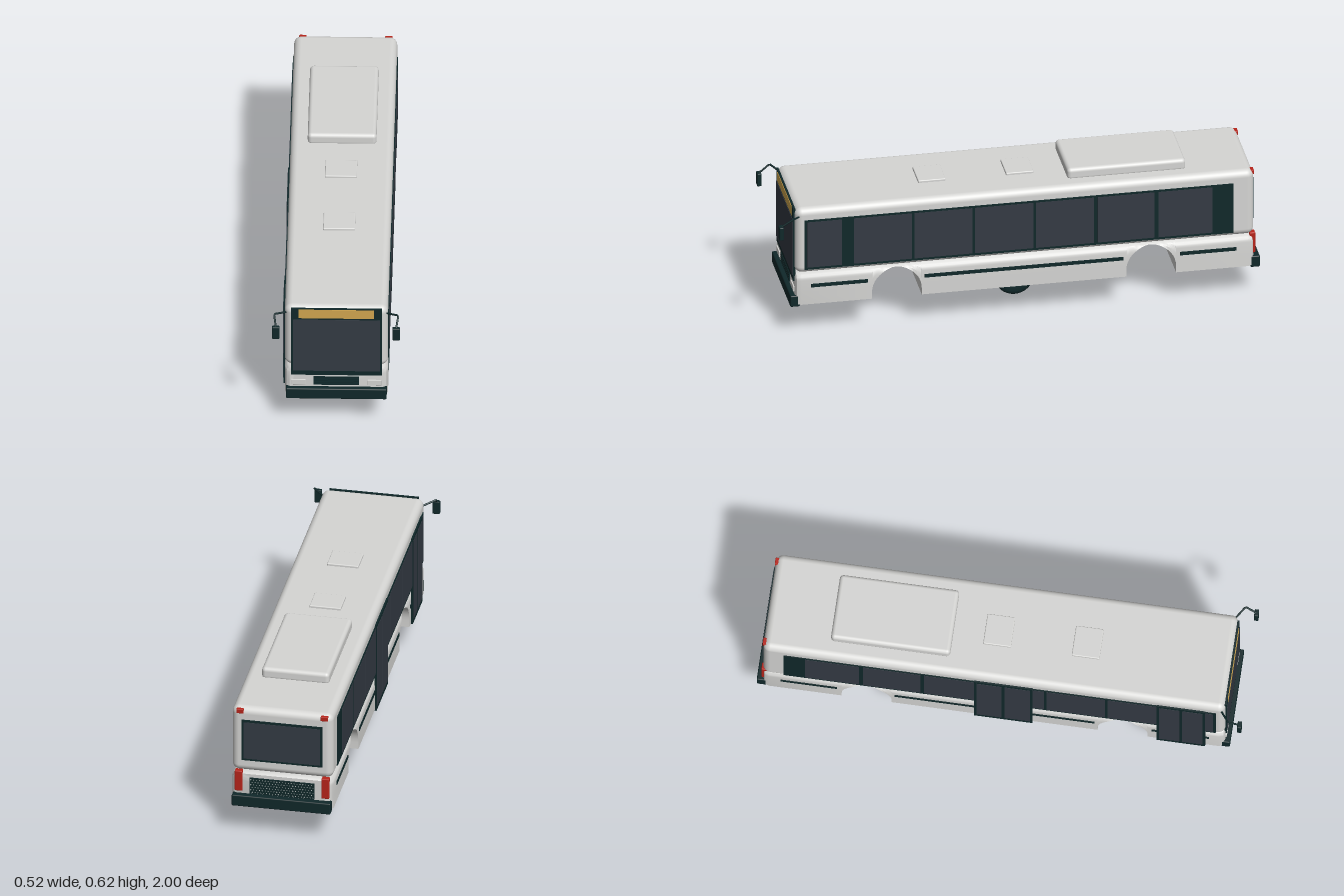
import * as THREE from 'three';
import { mergeGeometries, toCreasedNormals } from 'three/addons/utils/BufferGeometryUtils.js';
import { RoundedBoxGeometry } from 'three/addons/geometries/RoundedBoxGeometry.js';

const mat = (name, color, side = THREE.FrontSide) => {
  const m = new THREE.MeshStandardMaterial({ color, side });
  m.name = name;
  return m;
};

// Lower hull swept along z from cross-sections, with wheel arches cut across the full width
function lowerHull() {
  const floor = 0.14, top = 0.28, half = 0.21, r = 0.03, archY = 0.17, archR = 0.103;
  const stations = []; // [z, underside height, inset]
  stations.push([-0.975, floor, 0.02], [-0.968, floor, 0.007], [-0.95, floor, 0]);
  for (const c of [-0.548, 0.505]) {
    stations.push([c - archR, floor, 0]);
    for (let i = 0; i <= 20; i++) {
      const a = Math.PI * (1 - i / 20);
      stations.push([c + archR * Math.cos(a), archY + archR * Math.sin(a), 0]);
    }
    stations.push([c + archR, floor, 0]);
  }
  stations.push([0.9, floor, 0], [0.918, floor, 0.007], [0.925, floor, 0.02]);

  const steps = [0, 0.4, 0.78, 0.83, 0.88, 0.92, 0.96, 0.985, 1];
  const n = steps.length * 2, pos = [], idx = [];
  for (const [z, b, inset] of stations) {
    const side = steps.map((t) => {
      const y = b + (top - b) * t;
      const k = Math.max(0, y - (top - r));
      return [half - inset - (r - Math.sqrt(Math.max(0, r * r - k * k))), y - inset * t * 0.5];
    });
    side.forEach(([x, y]) => pos.push(-x, y, z));
    side.reverse().forEach(([x, y]) => pos.push(x, y, z));
  }
  for (let i = 0; i < stations.length - 1; i++) {
    for (let j = 0; j < n; j++) {
      const a = i * n + j, b = i * n + (j + 1) % n;
      idx.push(a, a + n, b, b, a + n, b + n);
    }
  }
  const last = (stations.length - 1) * n;
  for (let j = 1; j < n - 1; j++) {
    idx.push(0, j, j + 1, last, last + j + 1, last + j);
  }
  const g = new THREE.BufferGeometry();
  g.setAttribute('position', new THREE.Float32BufferAttribute(pos, 3));
  g.setIndex(idx);
  return toCreasedNormals(g, 0.6);
}

export function createModel() {
  const bus = new THREE.Group();
  bus.name = 'bus';
  const paint = mat('body paint', 0xd6d6d4);
  const trim = mat('dark trim', 0x10282a);
  const glass = mat('tinted glass', 0x343b44);
  const gold = mat('sign gold', 0xd2a850);
  const red = mat('lamp red', 0xb8241a);
  const metal = mat('hub metal', 0xb4b8b8);

  const add = (name, geo, material, parent = bus) => {
    const m = new THREE.Mesh(geo, material);
    m.name = name;
    parent.add(m);
    return m;
  };
  // Box given by its limits on each axis, optionally rounded
  const span = (name, material, x0, x1, y0, y1, z0, z1, r = 0) => {
    const s = [x1 - x0, y1 - y0, z1 - z0];
    const g = r ? new RoundedBoxGeometry(...s, 4, r) : new THREE.BoxGeometry(...s);
    g.translate((x0 + x1) / 2, (y0 + y1) / 2, (z0 + z1) / 2);
    return add(name, g, material);
  };
  // Box on one flank, d0 to d1 out from the centre plane
  const flank = (name, material, s, d0, d1, y0, y1, z0, z1) =>
    span(name, material, Math.min(s * d0, s * d1), Math.max(s * d0, s * d1), y0, y1, z0, z1);

  // Body
  add('lowerBody', lowerHull(), paint);
  span('upperBody', paint, -0.21, 0.21, 0.28, 0.575, -0.975, 0.925, 0.03);

  // Roof equipment
  span('airConditioner', paint, -0.14, 0.14, 0.565, 0.617, -0.705, -0.215, 0.016);
  for (const z of [-0.032, 0.332]) span('roofHatch', paint, -0.065, 0.065, 0.57, 0.585, z - 0.057, z + 0.057, 0.004);

  // Side windows, rub strips and mirrors
  const panes = [[0.733, 0.877], [0.444, 0.684], [0.193, 0.433], [-0.059, 0.182],
    [-0.31, -0.07], [-0.561, -0.326], [-0.8, -0.578]];
  const strips = [[0.625, 0.86], [-0.433, 0.39], [-0.9, -0.668]];
  for (const s of [1, -1]) {
    flank('windowBand', trim, s, 0.206, 0.2135, 0.3, 0.525, -0.888, 0.888);
    for (const [a, b] of panes) flank('sideWindow', glass, s, 0.212, 0.215, 0.31, 0.517, a, b);
    for (const [a, b] of strips) flank('rubStrip', trim, s, 0.207, 0.213, 0.217, 0.232, a, b);

    const arm = new THREE.CurvePath();
    const p = [[0.19, 0.536, 0.9], [0.253, 0.554, 0.945], [0.245, 0.522, 0.99]]
      .map(([x, y, z]) => new THREE.Vector3(s * x, y, z));
    arm.add(new THREE.LineCurve3(p[0], p[1]));
    arm.add(new THREE.LineCurve3(p[1], p[2]));
    add('mirrorArm', new THREE.TubeGeometry(arm, 16, 0.004, 8), trim);
    const m = add('mirror', new RoundedBoxGeometry(0.031, 0.058, 0.018, 3, 0.004), trim);
    m.position.set(s * 0.245, 0.496, 0.991);
  }

  // Double-leaf doors on the kerb side
  for (const [a, b] of [[0.645, 0.845], [-0.105, 0.135]]) {
    flank('doorFrame', trim, -1, 0.209, 0.217, 0.135, 0.53, a, b);
    const mid = (a + b) / 2;
    for (const [c, d] of [[a + 0.01, mid - 0.006], [mid + 0.006, b - 0.01]]) {
      flank('doorGlass', glass, -1, 0.214, 0.2185, 0.155, 0.515, c, d);
    }
  }

  // Front face
  span('windscreenFrame', trim, -0.185, 0.185, 0.24, 0.57, 0.921, 0.93);
  span('windscreen', glass, -0.177, 0.177, 0.262, 0.517, 0.926, 0.932);
  span('destinationSign', gold, -0.154, 0.154, 0.525, 0.567, 0.926, 0.932);
  for (let i = 0; i < 5; i++) {
    const y = 0.193 + i * 0.0085;
    span('grilleBar', trim, -0.092, 0.092, y - 0.003, y + 0.003, 0.922, 0.929);
  }
  for (const s of [-1, 1]) {
    const lamp = add('headlight', new RoundedBoxGeometry(0.06, 0.025, 0.008, 2, 0.002), paint);
    lamp.position.set(s * 0.155, 0.203, 0.926);
  }
  span('frontBumper', trim, -0.205, 0.205, 0.13, 0.18, 0.905, 0.945, 0.005);

  // Rear face
  span('rearBumper', trim, -0.205, 0.205, 0.13, 0.18, -1, -0.96, 0.005);
  span('rearWindowFrame', trim, -0.167, 0.167, 0.335, 0.52, -0.98, -0.972);
  span('rearWindow', glass, -0.158, 0.158, 0.344, 0.511, -0.982, -0.977);
  span('rearGrille', trim, -0.135, 0.135, 0.183, 0.255, -0.98, -0.972);
  const studs = [];
  for (let row = 0; row < 6; row++) {
    for (let col = 0; col < 22; col++) {
      const g = new THREE.BoxGeometry(0.0035, 0.0035, 0.004).rotateZ(Math.PI / 4);
      studs.push(g.translate(-0.129 + col * 0.012 + (row % 2) * 0.006, 0.19 + row * 0.0115, -0.979));
    }
  }
  add('rearGrilleMesh', mergeGeometries(studs), metal);
  for (const s of [-1, 1]) {
    const tail = add('tailLight', new RoundedBoxGeometry(0.032, 0.092, 0.025, 2, 0.004), red);
    tail.position.set(s * 0.18, 0.238, -0.97);
    const marker = add('markerLight', new RoundedBoxGeometry(0.03, 0.02, 0.024, 2, 0.003), red);
    marker.position.set(s * 0.175, 0.558, -0.966);
  }

  // Single wheel under the floor, hub facing +x
  const wheel = new THREE.Group();
  wheel.name = 'wheel';
  wheel.position.set(0, 0.08, -0.02);
  wheel.rotation.z = -Math.PI / 2;
  bus.add(wheel);
  const tyre = [[0, -0.02], [0.06, -0.023], [0.07, -0.021], [0.077, -0.015], [0.08, -0.007], [0.08, 0.007],
    [0.077, 0.015], [0.07, 0.021], [0.06, 0.023], [0.042, 0.022], [0.039, 0.012], [0, 0.012]];
  add('tyre', toCreasedNormals(new THREE.LatheGeometry(tyre.map(([x, y]) => new THREE.Vector2(x, y)), 32), 0.7), trim, wheel);
  const rim = [[0.04, 0.01], [0.038, 0.023], [0.034, 0.023], [0.031, 0.016], [0.018, 0.018],
    [0.016, 0.027], [0.009, 0.027], [0.008, 0.02], [0, 0.02]];
  add('rim', toCreasedNormals(new THREE.LatheGeometry(rim.map(([x, y]) => new THREE.Vector2(x, y)), 32), 0.5),
    mat('rim metal', 0xb4b8b8, THREE.DoubleSide), wheel);
  const cap = add('hubCap', new THREE.CylinderGeometry(0.007, 0.007, 0.006, 16), trim, wheel);
  cap.position.y = 0.02;
  for (let i = 0; i < 8; i++) {
    const a = (i / 8) * Math.PI * 2;
    const nut = add('wheelNut', new THREE.CylinderGeometry(0.0025, 0.0025, 0.007, 6), metal, wheel);
    nut.position.set(0.024 * Math.cos(a), 0.019, 0.024 * Math.sin(a));
  }
  return bus;
}
